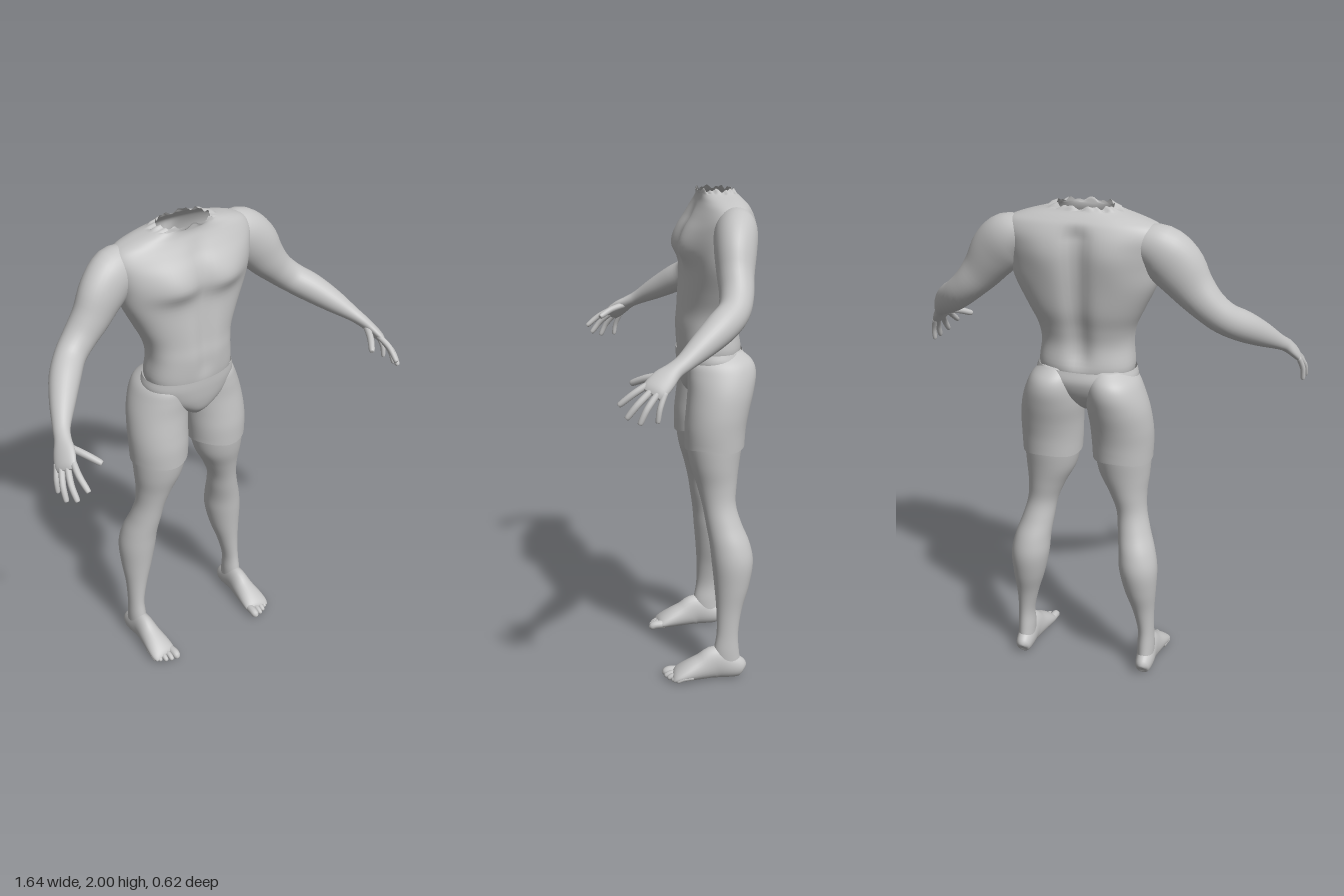
import * as THREE from 'three';

const V = (x, y, z) => new THREE.Vector3(x, y, z);
const bump = (d, w) => Math.exp(-(d * d) / (w * w));

// Adds in-between rows with a Catmull-Rom spline through every column.
function refine(rows, steps) {
  const out = [];
  const last = rows.length - 1;
  for (let i = 0; i < last; i++) {
    const [a, b, c, d] = [rows[Math.max(i - 1, 0)], rows[i], rows[i + 1], rows[Math.min(i + 2, last)]];
    for (let s = 0; s < steps; s++) {
      const t = s / steps;
      out.push(b.map((_, k) => 0.5 * (2 * b[k] + (c[k] - a[k]) * t
        + (2 * a[k] - 5 * b[k] + 4 * c[k] - d[k]) * t * t
        + (3 * b[k] - a[k] - 3 * c[k] + d[k]) * t * t * t)));
    }
  }
  out.push(rows[last]);
  return out;
}

// Skins closed rings of points, capping either end, with faces turned outward.
function skin(rings, capStart, capEnd) {
  const n = rings[0].length;
  const points = rings.flat();
  const index = [];
  for (let r = 0; r < rings.length - 1; r++) {
    for (let i = 0; i < n; i++) {
      const a = r * n + i, b = r * n + (i + 1) % n;
      index.push(a, b, a + n, b, b + n, a + n);
    }
  }
  const cap = (r, flip) => {
    const centre = rings[r].reduce((sum, p) => sum.add(p), V(0, 0, 0)).divideScalar(n);
    const c = points.push(centre) - 1;
    for (let i = 0; i < n; i++) {
      const a = r * n + i, b = r * n + (i + 1) % n;
      index.push(c, flip ? b : a, flip ? a : b);
    }
  };
  if (capStart) cap(0, true);
  if (capEnd) cap(rings.length - 1, false);

  const middle = new THREE.Box3().setFromPoints(points).getCenter(V(0, 0, 0));
  let volume = 0;
  for (let i = 0; i < index.length; i += 3) {
    const [a, b, c] = [0, 1, 2].map((k) => points[index[i + k]].clone().sub(middle));
    volume += a.dot(b.cross(c));
  }
  if (volume < 0) index.reverse();
  const geometry = new THREE.BufferGeometry().setFromPoints(points);
  geometry.setIndex(index);
  geometry.computeVertexNormals();
  return geometry;
}

// Stacks level sections. Row: [y, centreX, halfWidth, zFront, zBack].
function loft(rows, { side = 1, n = 32, power = 1, capStart = false, capEnd = false, shape } = {}) {
  const curve = (v) => Math.sign(v) * Math.abs(v) ** power;
  const rings = refine(rows, 5).map(([y, cx, rx, zf, zb]) =>
    Array.from({ length: n }, (_, i) => {
      const a = (i / n) * Math.PI * 2;
      const p = V(cx + rx * curve(Math.cos(a)), y, (zf + zb) / 2 + (zf - zb) / 2 * curve(Math.sin(a)));
      if (shape) shape(p, Math.sin(a), a);
      p.x *= side;
      return p;
    }));
  return skin(rings, capStart, capEnd);
}

// Sweeps ovals along a path. Row: [x, y, z, halfWidth, halfThickness].
function sweep(rows, widthDir, { side = 1, n = 20, steps = 4 } = {}) {
  const path = refine(rows, steps);
  const at = (i) => V(...path[Math.min(Math.max(i, 0), path.length - 1)].slice(0, 3));
  const rings = path.map(([, , , rw, rt], r) => {
    const tangent = at(r + 1).sub(at(r - 1)).normalize();
    const normal = tangent.clone().cross(widthDir).normalize();
    const width = normal.clone().cross(tangent);
    return Array.from({ length: n }, (_, i) => {
      const a = (i / n) * Math.PI * 2;
      const p = at(r).addScaledVector(width, rw * Math.cos(a)).addScaledVector(normal, rt * Math.sin(a));
      p.y = Math.max(p.y, 0);
      p.x *= side;
      return p;
    });
  });
  return skin(rings, true, true);
}

// Fingers and toes: a three-point path with a rounded tip.
function digit(base, mid, tip, r, widthDir, side) {
  const end = V(...tip).addScaledVector(V(...tip).sub(V(...mid)).normalize(), -r * 0.6).toArray();
  return sweep([[...base, r, r], [...mid, r, r], [...end, r * 0.85, r * 0.85],
    [...tip, r * 0.3, r * 0.3]], widthDir, { side, n: 12 });
}

// Chest, shoulder blade, spine and belly relief.
function torsoRelief(p, facing, angle) {
  const x = Math.abs(p.x), y = p.y;
  const trunk = THREE.MathUtils.smoothstep(y, 1.34, 1.42) * (1 - THREE.MathUtils.smoothstep(y, 1.88, 1.95));
  if (facing > 0) {
    const low = y < 1.77 ? 0.05 : 0.09;
    p.z += 0.03 * bump(x - 0.12, 0.1) * bump(y - 1.77, low) * facing;
    p.z -= 0.009 * bump(x, 0.035) * trunk;
    p.z += 0.006 * bump(x - 0.06, 0.05) * bump(y - 1.52, 0.13);
  } else {
    p.z += 0.024 * bump(x, 0.045) * trunk;
    p.z -= 0.012 * bump(x - 0.13, 0.08) * bump(y - 1.82, 0.09);
  }
  // Ragged edge of the open neck
  if (y > 1.98) p.y += 0.005 * Math.sin(angle * 9) + 0.004 * Math.sin(angle * 17);
}

export function createModel() {
  const model = new THREE.Group();
  model.name = 'figure';
  const grey = new THREE.MeshStandardMaterial({ color: 0xc4c4c4, side: THREE.DoubleSide });
  grey.name = 'plain grey';
  const add = (name, geometry, parent = model) => {
    const mesh = new THREE.Mesh(geometry, grey);
    mesh.name = name;
    parent.add(mesh);
  };

  add('torso', loft([
    [1.30, 0, 0.17, -0.02, -0.24], [1.36, 0, 0.191, -0.008, -0.26], [1.45, 0, 0.184, -0.005, -0.25],
    [1.52, 0, 0.195, -0.012, -0.26], [1.60, 0, 0.232, -0.016, -0.28], [1.70, 0, 0.28, -0.02, -0.292],
    [1.78, 0, 0.298, -0.017, -0.297], [1.84, 0, 0.31, -0.028, -0.297], [1.89, 0, 0.318, -0.052, -0.29],
    [1.93, 0, 0.295, -0.073, -0.275], [1.955, 0, 0.235, -0.083, -0.257], [1.975, 0, 0.16, -0.085, -0.238],
    [1.991, 0, 0.112, -0.08, -0.225],
  ], { n: 96, power: 0.85, capStart: true, shape: torsoRelief }));

  // Shorts: pelvis piece with an open waistband
  add('shortsPelvis', loft([
    [1.165, 0, 0.03, -0.06, -0.16], [1.20, 0, 0.085, -0.028, -0.21], [1.25, 0, 0.165, -0.012, -0.255],
    [1.31, 0, 0.205, -0.004, -0.277], [1.355, 0, 0.198, -0.002, -0.268],
  ], { n: 64, power: 0.92, capStart: true }));

  for (const side of [1, -1]) {
    const label = side > 0 ? 'left' : 'right';
    const across = V(1, 0, 0);

    add(label + 'ShortsLeg', loft([
      [0.975, 0.149, 0.122, -0.015, -0.258], [1.05, 0.148, 0.126, -0.014, -0.263],
      [1.12, 0.145, 0.127, -0.02, -0.276], [1.20, 0.135, 0.125, -0.028, -0.296],
      [1.27, 0.124, 0.113, -0.029, -0.307], [1.32, 0.115, 0.096, -0.035, -0.294],
      [1.36, 0.1, 0.065, -0.07, -0.25],
    ], { side, n: 48, capEnd: true,
      shape: (p, facing, a) => { if (p.y < 1) p.y += 0.006 * Math.sin(a * 3); } }));

    add(label + 'Leg', loft([
      [1.04, 0.147, 0.117, -0.022, -0.253], [0.98, 0.15, 0.115, -0.023, -0.248],
      [0.90, 0.157, 0.103, -0.036, -0.236], [0.82, 0.174, 0.078, -0.06, -0.225],
      [0.74, 0.192, 0.063, -0.08, -0.219], [0.66, 0.208, 0.067, -0.094, -0.24],
      [0.58, 0.226, 0.075, -0.107, -0.272], [0.50, 0.236, 0.079, -0.115, -0.285],
      [0.40, 0.245, 0.066, -0.125, -0.268], [0.30, 0.257, 0.046, -0.132, -0.238],
      [0.20, 0.268, 0.034, -0.132, -0.222], [0.12, 0.269, 0.036, -0.12, -0.226],
      [0.05, 0.269, 0.034, -0.12, -0.236],
    ], { side, n: 40, capEnd: true }));

    const foot = new THREE.Group();
    foot.name = label + 'Foot';
    model.add(foot);
    add('footBody', sweep([
      [0.27, 0.035, -0.246, 0.012, 0.015], [0.27, 0.04, -0.236, 0.03, 0.038],
      [0.27, 0.053, -0.19, 0.038, 0.055], [0.268, 0.07, -0.13, 0.04, 0.072],
      [0.267, 0.053, -0.07, 0.048, 0.055], [0.267, 0.037, -0.01, 0.057, 0.039],
      [0.267, 0.024, 0.03, 0.058, 0.025], [0.265, 0.016, 0.047, 0.05, 0.012],
    ], across, { side, n: 28 }), foot);
    // Toes, big to small: [x, tip z, radius]
    [[0.226, 0.09, 0.018], [0.254, 0.085, 0.012], [0.277, 0.075, 0.012],
      [0.298, 0.06, 0.011], [0.315, 0.042, 0.011]].forEach(([x, z, r], i) => {
      add('toe' + (i + 1), digit([x * 0.9 + 0.026, 0.024, z - 0.07], [x, 0.024, z - 0.03],
        [x, 0.012, z], r, across, side), foot);
    });

    // Arm and palm run as one sweep, widest across the knuckles
    const knuckleLine = V(0.45, -0.3, -0.84).normalize();
    add(label + 'Arm', sweep([
      [0.20, 1.875, -0.19, 0.06, 0.06], [0.29, 1.848, -0.185, 0.082, 0.098],
      [0.36, 1.785, -0.172, 0.08, 0.103], [0.42, 1.705, -0.162, 0.07, 0.083],
      [0.48, 1.64, -0.155, 0.064, 0.068], [0.54, 1.588, -0.132, 0.06, 0.062],
      [0.60, 1.545, -0.075, 0.06, 0.06], [0.66, 1.495, 0.0, 0.049, 0.048],
      [0.71, 1.449, 0.07, 0.035, 0.031], [0.732, 1.425, 0.112, 0.034, 0.025],
      [0.75, 1.4, 0.148, 0.045, 0.022], [0.768, 1.37, 0.182, 0.047, 0.018],
      [0.776, 1.353, 0.198, 0.038, 0.009],
    ], knuckleLine, { side, n: 32 }));

    const hand = new THREE.Group();
    hand.name = label + 'Fingers';
    model.add(hand);
    // Each finger: base, middle joint, tip
    [['thumb', [0.733, 1.41, 0.135], [0.698, 1.395, 0.2], [0.658, 1.368, 0.256], 0.014],
      ['indexFinger', [0.747, 1.386, 0.2], [0.757, 1.355, 0.255], [0.752, 1.312, 0.31], 0.0125],
      ['middleFinger', [0.765, 1.37, 0.19], [0.786, 1.323, 0.245], [0.787, 1.272, 0.287], 0.0125],
      ['ringFinger', [0.779, 1.362, 0.172], [0.803, 1.31, 0.215], [0.808, 1.255, 0.243], 0.012],
      ['littleFinger', [0.786, 1.36, 0.15], [0.803, 1.31, 0.171], [0.806, 1.258, 0.18], 0.0105],
    ].forEach(([name, base, mid, tip, r]) => add(name, digit(base, mid, tip, r, knuckleLine, side), hand));
  }
  return model;
}
